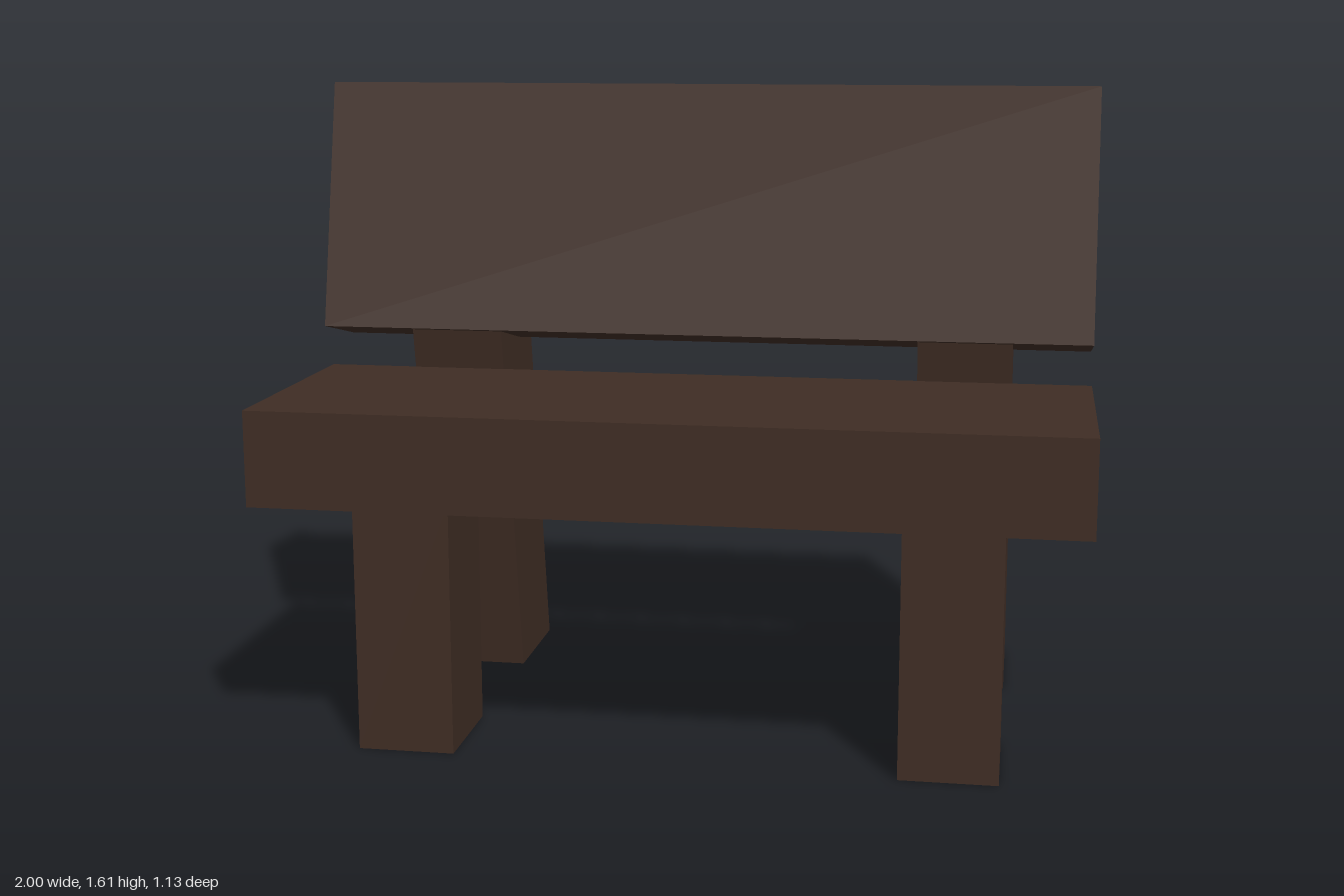
import * as THREE from 'three';

const darkWood = new THREE.MeshStandardMaterial({ color: 0x3f2d24 });
darkWood.name = 'darkWood';

// Extrudes a side profile of [z, y] corners across the bench from x0 to x1.
function plank(name, profile, x0, x1) {
  const shape = new THREE.Shape(profile.map(([z, y]) => new THREE.Vector2(-z, y)));
  const geometry = new THREE.ExtrudeGeometry(shape, { depth: x1 - x0, bevelEnabled: false });
  geometry.rotateY(Math.PI / 2).translate(x0, 0, 0);
  const mesh = new THREE.Mesh(geometry, darkWood);
  mesh.name = name;
  return mesh;
}

export function createModel() {
  const bench = new THREE.Group();
  bench.name = 'bench';

  // Thick seat slab
  bench.add(plank('seat', [[0.565, 0.63], [-0.087, 0.63], [-0.087, 0.866], [0.565, 0.866]], -1, 1));

  // Backrest leaning backwards
  bench.add(plank('backrest', [[-0.03, 0.978], [-0.26, 0.925], [-0.405, 1.56], [-0.173, 1.612]], -1, 1));

  // Upright front legs and slanted rear legs, whose tops end inside the backrest
  for (const [side, x0, x1] of [['right', -0.77, -0.53], ['left', 0.56, 0.8]]) {
    bench.add(plank(side + 'FrontLeg', [[0.467, 0], [0.192, 0], [0.192, 0.63], [0.467, 0.63]], x0, x1));
    bench.add(plank(side + 'RearLeg', [[-0.245, 0], [-0.562, 0], [-0.325, 1.26], [-0.06, 1.0]], x0, x1));
  }
  return bench;
}
